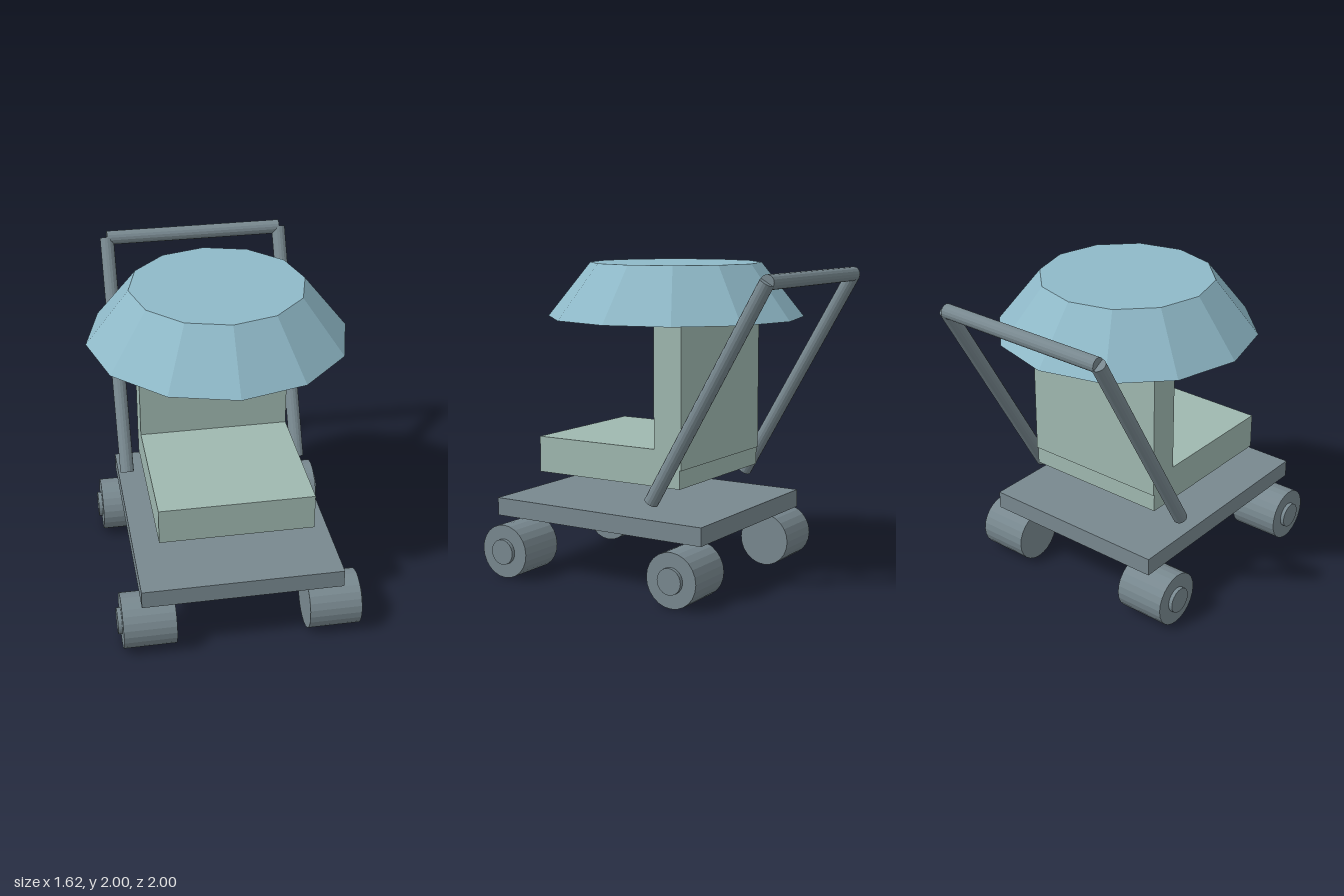
import * as THREE from 'three';

const mat = (name, color) => {
  const m = new THREE.MeshStandardMaterial({ color, flatShading: true });
  m.name = name;
  return m;
};

export function createModel() {
  const model = new THREE.Group();
  model.name = 'stroller';
  const grey = mat('slate grey', 0x78888f);
  const green = mat('sage green', 0x9fb8b0);
  const blue = mat('canopy blue', 0x8fb9c8);

  const add = (name, geometry, material, x, y, z) => {
    const mesh = new THREE.Mesh(geometry, material);
    mesh.name = name;
    mesh.position.set(x, y, z);
    model.add(mesh);
    return mesh;
  };

  // Round bar between two points
  const bar = (name, from, to, radius, sides) => {
    const a = new THREE.Vector3(...from), b = new THREE.Vector3(...to);
    const dir = b.clone().sub(a);
    const mid = a.clone().add(b).multiplyScalar(0.5);
    const geometry = new THREE.CylinderGeometry(radius, radius, dir.length(), sides);
    const mesh = add(name, geometry, grey, mid.x, mid.y, mid.z);
    mesh.quaternion.setFromUnitVectors(new THREE.Vector3(0, 1, 0), dir.normalize());
  };

  // Chassis plate
  add('chassis', new THREE.BoxGeometry(1.245, 0.115, 1.53), grey, 0, 0.428, 0.205);

  // Seat cushion and backrest
  add('seat', new THREE.BoxGeometry(0.96, 0.23, 1.055), green, 0, 0.775, 0.2025);
  add('backrest', new THREE.BoxGeometry(0.96, 0.9, 0.195), green, 0, 1.225, -0.2375);

  // Twelve-sided canopy
  add('canopy', new THREE.CylinderGeometry(0.54, 0.81, 0.34, 12), blue, 0, 1.83, 0.003);

  for (const side of [-1, 1]) {
    // Wheels with hubs on the outside
    for (const [end, z] of [['front', 0.828], ['rear', -0.425]]) {
      bar(end + 'Wheel', [side * 0.413, 0.173, z], [side * 0.74, 0.173, z], 0.172, 24);
      bar(end + 'Hub', [side * 0.73, 0.173, z], [side * 0.765, 0.173, z], 0.082, 24);
    }
    // Slanted handle rods
    bar('handleRod', [side * 0.576, 0.583, -0.182], [side * 0.576, 1.927, -0.955], 0.045, 16);
  }

  // Push bar
  bar('pushBar', [-0.576, 1.927, -0.955], [0.576, 1.927, -0.955], 0.045, 16);

  return model;
}
